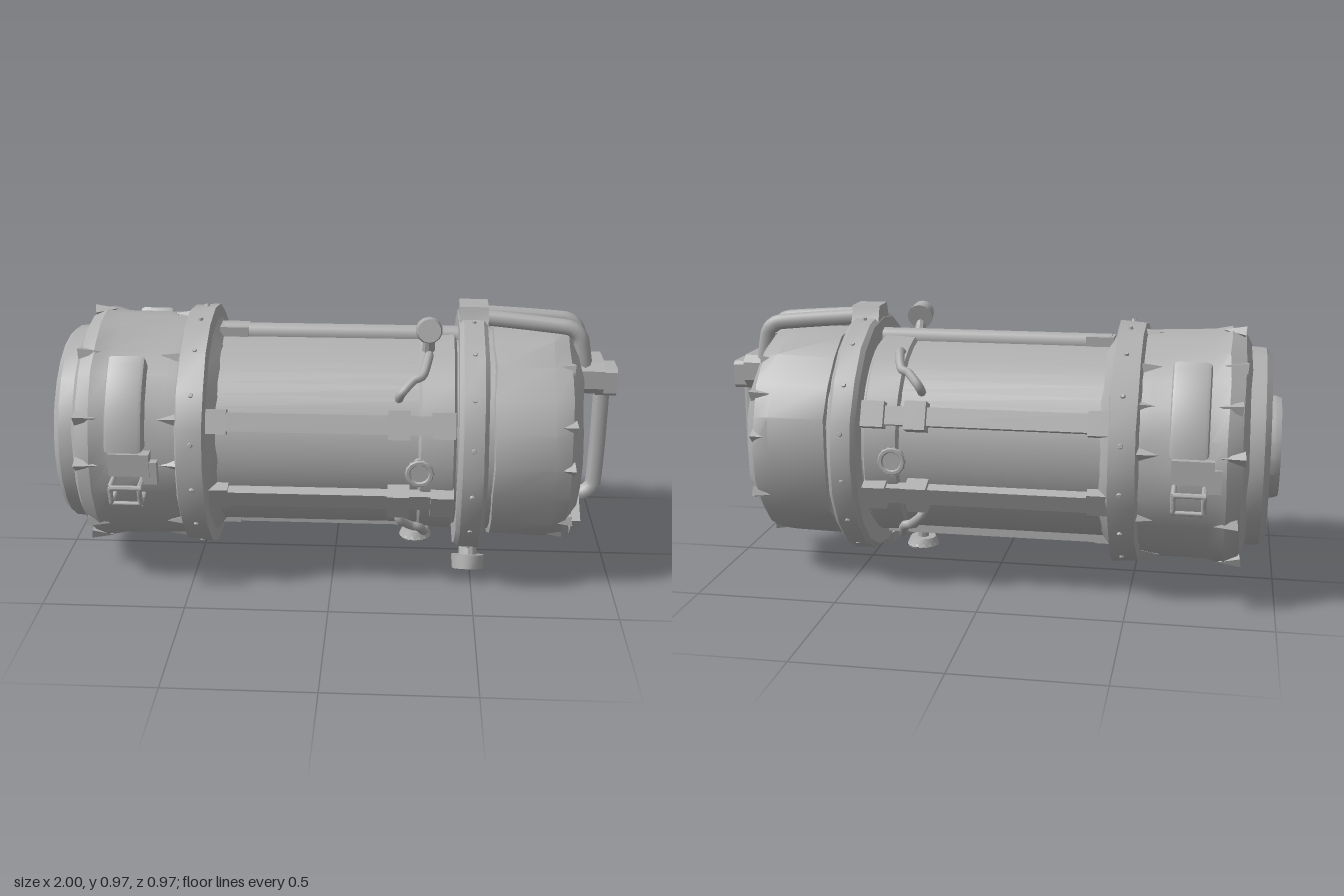
import * as THREE from 'three';
import { toCreasedNormals } from 'three/addons/utils/BufferGeometryUtils.js';

const CY = 0.5; // height of the canister axis
const rad = THREE.MathUtils.degToRad;

export function createModel() {
  const root = new THREE.Group();
  root.name = 'canister';
  const grey = new THREE.MeshStandardMaterial({ color: 0xb0b0b0, side: THREE.DoubleSide });
  grey.name = 'plain grey';

  const mesh = (name, geo, parent = root, crease = 0.5) => {
    const m = new THREE.Mesh(toCreasedNormals(geo, crease), grey);
    m.name = name;
    parent.add(m);
    return m;
  };
  const box = (name, size, pos, parent) => {
    const m = mesh(name, new THREE.BoxGeometry(...size), parent);
    m.position.set(...pos);
    return m;
  };
  // Box with a chamfered outline seen along x
  const chamferBox = (name, [w, h, d], pos, c) => {
    const y = h / 2, z = d / 2;
    const s = new THREE.Shape([[z, -y + c], [z, y - c], [z - c, y], [-z + c, y], [-z, y - c], [-z, -y + c],
      [-z + c, -y], [z - c, -y]].map(p => new THREE.Vector2(...p)));
    const geo = new THREE.ExtrudeGeometry(s, { depth: w, bevelEnabled: false });
    geo.translate(0, 0, -w / 2);
    geo.rotateY(Math.PI / 2);
    mesh(name, geo).position.set(...pos);
  };
  const tube = (name, pts, r, parent, tension = 0.2) => {
    const curve = new THREE.CatmullRomCurve3(pts.map(p => new THREE.Vector3(...p)), false, 'catmullrom', tension);
    return mesh(name, new THREE.TubeGeometry(curve, 32, r, 8), parent, 0.9);
  };
  // Revolved shell along x; pts are [x, radius], rough makes the edges uneven
  const shell = (name, pts, segments, rough = 0) => {
    const geo = new THREE.LatheGeometry(pts.map(([x, r]) => new THREE.Vector2(r, x)), segments);
    geo.rotateZ(-Math.PI / 2);
    const p = geo.attributes.position;
    for (let i = 0; i < p.count; i++) {
      const x = p.getX(i), a = Math.atan2(p.getZ(i), p.getY(i));
      const wave = Math.sin(7 * a + 40 * x) + 0.6 * Math.cos(11 * a - 23 * x);
      const k = 1 + rough * wave;
      p.setXYZ(i, x + rough * 0.25 * wave, p.getY(i) * k, p.getZ(i) * k);
    }
    mesh(name, geo, root, 0.45).position.y = CY;
  };
  // Frame on the axis whose +y points outward; 0 = front, 90 = top
  const radial = (name, x, deg) => {
    const g = new THREE.Group();
    g.name = name;
    g.position.set(x, CY, 0);
    g.rotation.x = Math.PI / 2 - rad(deg);
    root.add(g);
    return g;
  };
  const at = (x, r, deg) => [x, CY + r * Math.sin(rad(deg)), r * Math.cos(rad(deg))];

  // Main bodies
  shell('middleCylinder', [[-0.45, 0.348], [0.46, 0.348]], 48);
  shell('rearHousing', [[-0.89, 0.30], [-0.89, 0.36], [-0.87, 0.40], [-0.82, 0.425], [-0.76, 0.411],
    [-0.56, 0.404], [-0.44, 0.39], [-0.40, 0.345]], 24, 0.009);
  shell('rearStep', [[-0.93, 0.17], [-0.93, 0.25], [-0.955, 0.29], [-0.96, 0.33], [-0.94, 0.35], [-0.88, 0.355]], 24);
  shell('rearHub', [[-0.985, 0], [-0.985, 0.145], [-1, 0.15], [-1, 0.175], [-0.98, 0.182], [-0.92, 0.182]], 20);
  shell('rearFlange', [[-0.53, 0.40], [-0.52, 0.43], [-0.43, 0.437], [-0.425, 0.39], [-0.39, 0.345]], 20, 0.006);
  shell('collar', [[0.30, 0.348], [0.31, 0.362], [0.42, 0.367], [0.43, 0.348]], 32);
  shell('frontFlange', [[0.435, 0.34], [0.435, 0.425], [0.45, 0.439], [0.52, 0.439], [0.535, 0.425], [0.535, 0.36]], 20, 0.003);
  shell('frontNeck', [[0.52, 0.365], [0.58, 0.365]], 24);
  shell('frontCap', [[0.555, 0.36], [0.56, 0.385], [0.76, 0.39], [0.82, 0.376], [0.861, 0.315],
    [0.853, 0.27], [0.867, 0.15], [0.867, 0]], 20, 0.011);

  // Raised disc and plate on the front cap
  const disc = mesh('capDisc', new THREE.CylinderGeometry(0.14, 0.15, 0.012, 16));
  disc.rotation.z = -Math.PI / 2;
  disc.position.set(0.868, 0.42, -0.09);
  box('capPlate', [0.03, 0.09, 0.2], [0.855, 0.3, 0.2]).rotation.x = rad(35);

  // Bars along the middle, with end blocks
  [22, -22, -90, -158, 158].forEach(a => {
    const g = radial('bar', 0, a);
    box('rail', [0.83, 0.035, 0.065], [0.01, 0.367, 0], g);
    box('railFoot', [0.07, 0.05, 0.085], [-0.39, 0.36, 0], g);
    if (a === -90) return;
    box('railBlock', [0.075, 0.07, 0.1], [0.235, 0.372, 0], g);
    box('railBlock', [0.08, 0.065, 0.09], [0.385, 0.372, 0], g);
  });
  // Round top rail
  tube('topRail', [[-0.42, 0.851, 0], [0.44, 0.851, 0]], 0.036);
  box('topRailFoot', [0.1, 0.05, 0.08], [-0.36, 0.855, 0]);

  // Valve knobs round the collar
  [[0.305, 0, 0.425, 0.05], [0.305, 180, 0.425, 0.05], [0.30, -90, 0.432, 0.06]].forEach(([x, a, r, size]) => {
    const g = radial('valveKnob', x, a);
    mesh('knobStem', new THREE.CylinderGeometry(0.02, 0.024, r - 0.33, 10), g).position.y = (r + 0.33) / 2;
    mesh('knobHead', new THREE.CylinderGeometry(size, size * 0.8, 0.03, 14), g).position.y = r - 0.01;
    const rim = mesh('knobRim', new THREE.TorusGeometry(size * 0.8, size * 0.2, 6, 14), g);
    rim.rotation.x = Math.PI / 2;
    rim.position.y = r + 0.003;
  });
  // Cup-shaped top knob, tilted towards the front
  const top = radial('topKnob', 0.33, 69.7);
  mesh('knobStem', new THREE.CylinderGeometry(0.018, 0.026, 0.1, 10), top).position.y = 0.38;
  const cup = mesh('knobCup', new THREE.CylinderGeometry(0.04, 0.047, 0.06, 14), top);
  cup.position.y = 0.443;
  cup.rotation.x = rad(55);

  // Small bent pipes beside the knobs
  [63, 117, -63, -117].forEach(a => {
    const s = Math.sign(Math.cos(rad(a))) * Math.sign(Math.sin(rad(a)));
    tube('bentPipe', [at(0.23, 0.34, a - s * 26), at(0.24, 0.375, a - s * 24), at(0.28, 0.38, a - s * 17),
      at(0.31, 0.38, a - s * 14), at(0.33, 0.38, a - s * 2), at(0.33, 0.34, a + s * 4)], 0.016, root, 0.5);
  });

  // Bolts round both flanges
  for (let i = 0; i < 16; i++) {
    const a = i * 22.5 + 11;
    for (const [x, r] of [[-0.47, 0.43], [0.485, 0.434]]) {
      const g = radial('flangeBolt', x, a);
      mesh('bolt', new THREE.CylinderGeometry(0.007, 0.012, 0.016, 6), g).position.y = r;
    }
  }
  // Uneven tabs on the housing edges
  for (let i = 0; i < 12; i++) {
    const g = radial('edgeTab', 0, i * 30 + 8 * Math.sin(i * 5));
    for (const [x, r] of [[-0.83, 0.42], [-0.55, 0.405], [0.79, 0.375]]) {
      const tab = mesh('tab', new THREE.ConeGeometry(0.026, 0.08, 4), g);
      tab.position.set(x + 0.01 * Math.sin(i * 3), r - 0.004, 0);
      tab.rotation.z = Math.PI / 2 * (x < -0.7 ? -0.9 : 0.9);
    }
  }

  // Curved straps and loop latches on both sides of the rear housing
  for (const side of [1, -1]) {
    const g = new THREE.Group();
    g.name = side > 0 ? 'frontLatch' : 'backLatch';
    g.rotation.y = side > 0 ? 0 : Math.PI;
    g.position.set(side > 0 ? 0 : -1.39, 0, 0);
    root.add(g);
    const s = new THREE.Shape();
    s.absarc(0, 0, 0.442, rad(9), rad(49), false);
    s.absarc(0, 0, 0.38, rad(49), rad(9), true);
    const geo = new THREE.ExtrudeGeometry(s, { depth: 0.1, curveSegments: 8,
      bevelEnabled: true, bevelSize: 0.012, bevelThickness: 0.015, bevelSegments: 2 });
    geo.rotateY(-Math.PI / 2);
    mesh('strap', geo, g).position.set(-0.645, CY, 0);
    box('latchBase', [0.14, 0.08, 0.05], [-0.68, 0.51, 0.415], g);
    box('latchBase', [0.05, 0.08, 0.05], [-0.61, 0.48, 0.41], g);
    for (const x of [-0.74, -0.64]) {
      tube('latchLeg', [[x, 0.452, 0.40], [x, 0.443, 0.474], [x, 0.378, 0.46], [x, 0.39, 0.40]], 0.009, g, 0.05);
    }
    tube('latchBar', [[-0.745, 0.443, 0.474], [-0.635, 0.443, 0.474]], 0.009, g);
    tube('latchBar', [[-0.745, 0.378, 0.46], [-0.635, 0.378, 0.46]], 0.009, g);
  }

  // Bracket on top of the front flange
  const b = new THREE.Shape([[-0.12, 0.86], [-0.075, 0.905], [-0.052, 0.972], [0.052, 0.972], [0.075, 0.905], [0.12, 0.86]]
    .map(p => new THREE.Vector2(...p)));
  const bracket = new THREE.ExtrudeGeometry(b, { depth: 0.1, bevelEnabled: false });
  bracket.rotateY(Math.PI / 2);
  mesh('topBracket', bracket).position.x = 0.437;

  // Carrying handle: twin upper tubes, joint block and lower grip
  for (const s of [1, -1]) {
    tube('upperHandle', [[0.5, 0.93, 0.028 * s], [0.66, 0.918, 0.04 * s], [0.82, 0.903, 0.052 * s],
      [0.86, 0.87, 0.053 * s], [0.88, 0.77, 0.05 * s], [0.90, 0.72, 0.045 * s]], 0.028);
  }
  chamferBox('handleJoint', [0.09, 0.115, 0.175], [0.905, 0.722, 0], 0.025);
  chamferBox('handleBlock', [0.075, 0.1, 0.115], [0.9625, 0.702, 0], 0.012);
  tube('grip', [[0.955, 0.68, 0], [0.955, 0.45, 0], [0.95, 0.29, 0], [0.92, 0.255, 0], [0.82, 0.22, 0]], 0.029);
  box('gripFoot', [0.06, 0.07, 0.1], [0.83, 0.217, 0]);

  // Round foot below the front flange
  const foot = radial('foot', 0.49, -66);
  mesh('footStem', new THREE.CylinderGeometry(0.035, 0.03, 0.1, 12), foot).position.y = 0.45;
  const pad = mesh('footPad', new THREE.CylinderGeometry(0.074, 0.08, 0.05, 16), foot);
  pad.scale.x = 0.75;
  pad.position.y = 0.487;
  // Flat pad under the rear housing
  box('bottomPad', [0.26, 0.05, 0.14], [-0.6, 0.122, 0]);

  return root;
}
